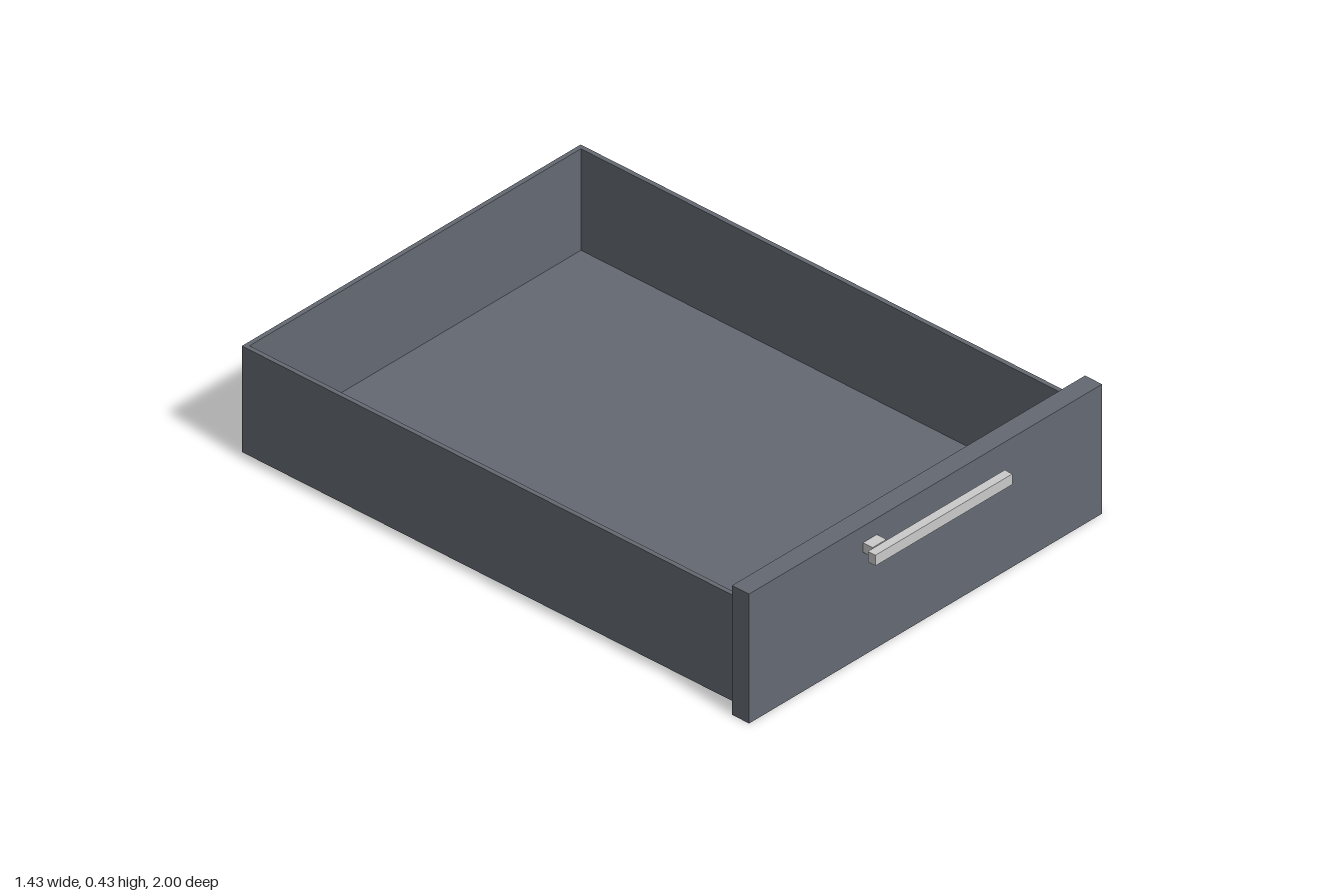
import * as THREE from 'three';

const board = new THREE.MeshStandardMaterial({ color: 0x656a73 });
const metal = new THREE.MeshStandardMaterial({ color: 0xcccccc });

// Box given by its [min, max] extents on each axis
function slab(name, [x0, x1], [y0, y1], [z0, z1], material) {
  const mesh = new THREE.Mesh(new THREE.BoxGeometry(x1 - x0, y1 - y0, z1 - z0), material);
  mesh.position.set((x0 + x1) / 2, (y0 + y1) / 2, (z0 + z1) / 2);
  mesh.name = name;
  return mesh;
}

export function createModel() {
  const drawer = new THREE.Group();
  drawer.name = 'drawer';

  const w = 0.688, t = 0.015; // half width of the tray, board thickness
  const floorY = 0.02, wallY = [floorY + t, 0.37], depth = [-1, 0.866];

  // Open tray: floor, two sides and back
  const tray = new THREE.Group();
  tray.name = 'tray';
  tray.add(
    slab('bottomPanel', [-w, w], [floorY, floorY + t], depth, board),
    slab('leftSide', [w - t, w], wallY, depth, board),
    slab('rightSide', [-w, -w + t], wallY, depth, board),
    slab('backPanel', [-w + t, w - t], wallY, [-1, -1 + t], board)
  );

  // Front panel overhanging the tray on all sides
  const front = slab('frontPanel', [-0.717, 0.717], [0, 0.427], [0.867, 0.931], board);

  // Flat bar handle on its single post
  const handle = new THREE.Group();
  handle.name = 'handle';
  handle.add(
    slab('handleBar', [-0.278, 0.278], [0.339, 0.374], [0.971, 1], metal),
    slab('handlePost', [-0.254, -0.198], [0.341, 0.373], [0.931, 0.967], metal)
  );

  drawer.add(tray, front, handle);
  return drawer;
}
